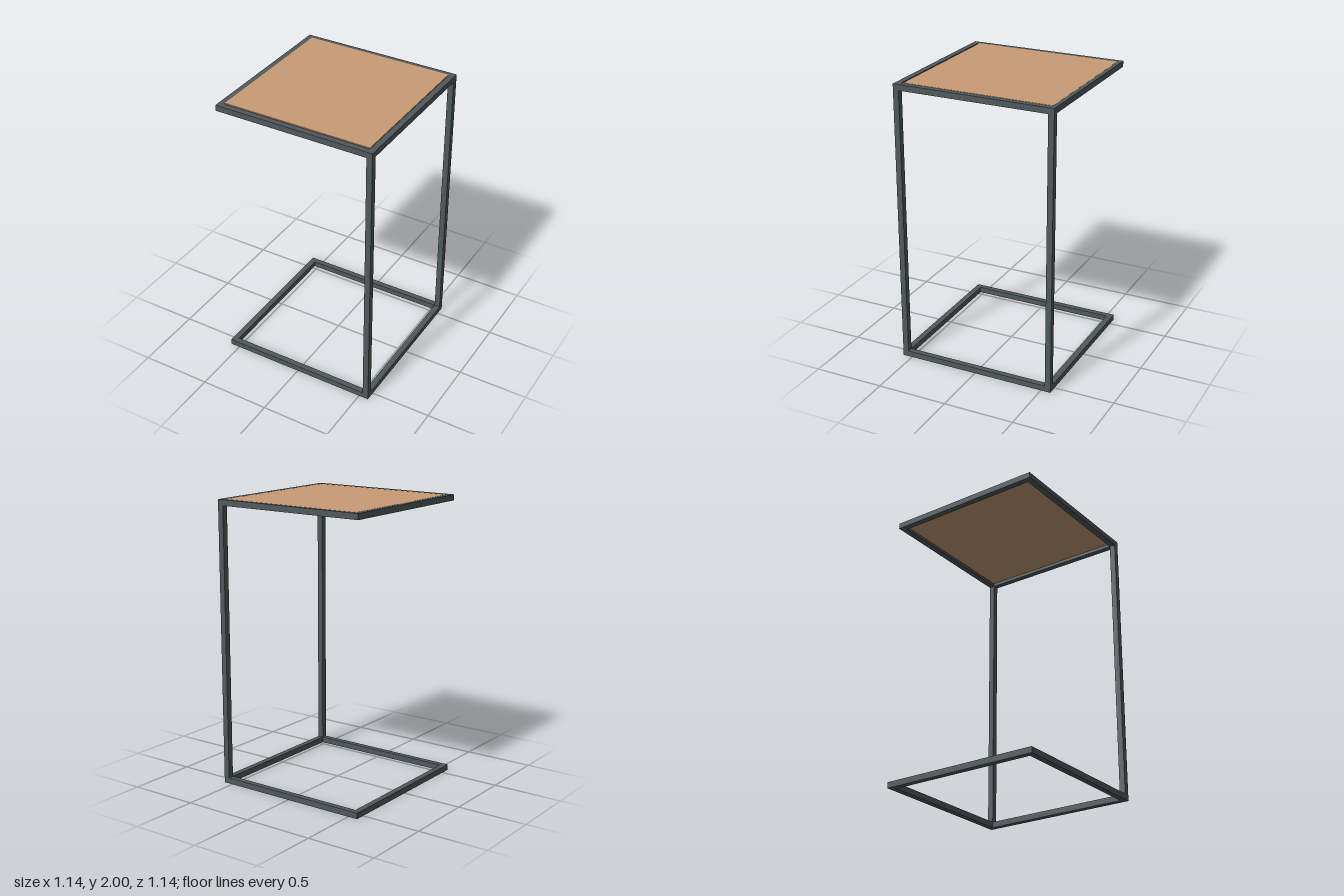
import * as THREE from 'three';

const HALF = 0.57;      // half of the square footprint
const HEIGHT = 2;
const BAR = 0.041;      // square tube thickness

export function createModel() {
  const group = new THREE.Group();
  const steel = new THREE.MeshStandardMaterial({ color: 0x50595c });
  steel.name = 'dark grey steel';
  const wood = new THREE.MeshStandardMaterial({ color: 0xc99b75 });
  wood.name = 'light wood';

  const box = (name, material, size, position) => {
    const mesh = new THREE.Mesh(new THREE.BoxGeometry(...size), material);
    mesh.name = name;
    mesh.position.set(...position);
    group.add(mesh);
  };

  // Square frame extruded around an open middle
  const squareFrame = (name, y) => {
    const inner = HALF - BAR;
    const shape = new THREE.Shape([
      new THREE.Vector2(-HALF, -HALF), new THREE.Vector2(HALF, -HALF),
      new THREE.Vector2(HALF, HALF), new THREE.Vector2(-HALF, HALF),
    ]);
    shape.holes.push(new THREE.Path([
      new THREE.Vector2(-inner, -inner), new THREE.Vector2(-inner, inner),
      new THREE.Vector2(inner, inner), new THREE.Vector2(inner, -inner),
    ]));
    const geometry = new THREE.ExtrudeGeometry(shape, { depth: BAR, bevelEnabled: false });
    geometry.rotateX(-Math.PI / 2);
    const mesh = new THREE.Mesh(geometry, steel);
    mesh.name = name;
    mesh.position.y = y;
    group.add(mesh);
  };
  squareFrame('baseFrame', 0);
  squareFrame('topFrame', HEIGHT - BAR);

  // Two uprights on the left side only, leaving the other side open
  for (const [name, side] of [['frontLeg', 1], ['backLeg', -1]]) {
    box(name, steel, [BAR, HEIGHT - 2 * BAR, BAR],
      [HALF - BAR / 2, HEIGHT / 2, side * (HALF - BAR / 2)]);
  }

  // Table top, set slightly towards the back with a narrow gap at the front and left
  box('tableTop', wood, [1.059, 0.02, 1.06], [-0.0045, HEIGHT - 0.0095, -0.01]);

  return group;
}
